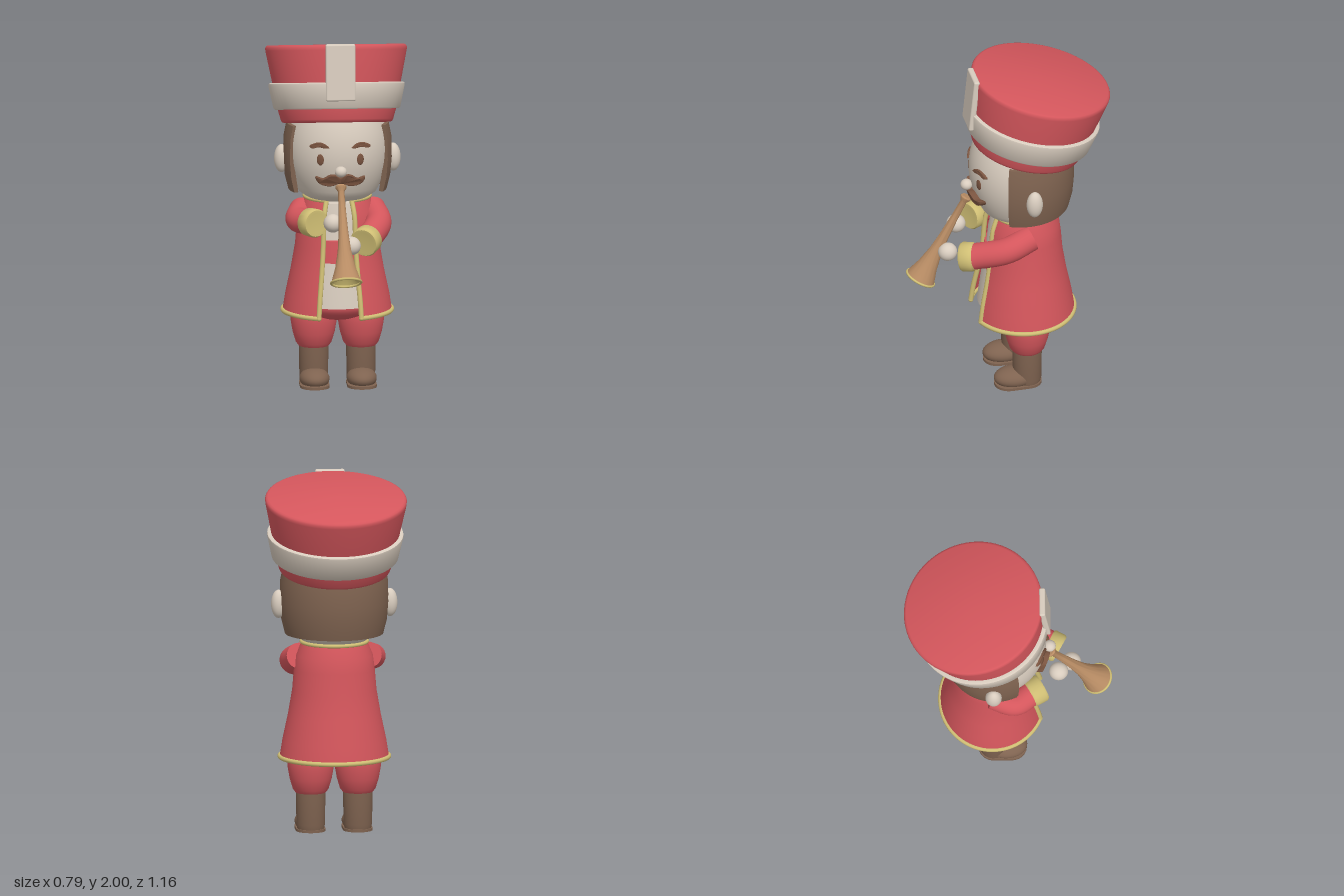
import * as THREE from 'three';
import { toCreasedNormals } from 'three/addons/utils/BufferGeometryUtils.js';
import { RoundedBoxGeometry } from 'three/addons/geometries/RoundedBoxGeometry.js';

const V = (x, y, z) => new THREE.Vector3(x, y, z);
const paint = (name, color, side = THREE.FrontSide) => {
  const m = new THREE.MeshStandardMaterial({ color, side });
  m.name = name;
  return m;
};

export function createModel() {
  const model = new THREE.Group();
  model.name = 'toyHornPlayer';
  const red = paint('red cloth', 0xd4565c, THREE.DoubleSide);
  const cream = paint('cream', 0xd8ccbe);
  const gold = paint('gold trim', 0xcfbe74);
  const brown = paint('brown', 0x7f6350, THREE.DoubleSide);
  const faceBrown = paint('dark brown', 0x79533f);
  const tan = paint('horn wood', 0xb88c64);

  const add = (name, geo, mat, pos = [0, 0, 0], parent = model) => {
    const m = new THREE.Mesh(geo, mat);
    m.name = name;
    m.position.set(...pos);
    parent.add(m);
    return m;
  };
  const lathe = (pts, segs = 56, start = 0, len = Math.PI * 2) =>
    toCreasedNormals(new THREE.LatheGeometry(pts.map(p => new THREE.Vector2(...p)), segs, start, len), 0.7);
  const ball = (name, pos, radii, mat, parent = model) => {
    const m = add(name, new THREE.SphereGeometry(1, 32, 20), mat, pos, parent);
    m.scale.set(...radii);
    return m;
  };
  const tube = (name, pts, r, mat, segs = 40, radial = 10) =>
    add(name, new THREE.TubeGeometry(new THREE.CatmullRomCurve3(pts), segs, r, radial), mat);
  const aim = (mesh, dir) => mesh.quaternion.setFromUnitVectors(V(0, 1, 0), dir.clone().normalize());

  // Legs, boots and feet
  ball('hips', [0, 0.47, -0.08], [0.24, 0.1, 0.2], red);
  for (const s of [-1, 1]) {
    const leg = new THREE.Group();
    leg.name = s > 0 ? 'leftLeg' : 'rightLeg';
    leg.position.set(s * 0.132, 0, -0.08);
    model.add(leg);
    add('trouserLeg', lathe([[0, 0.22], [0.085, 0.22], [0.1, 0.24], [0.118, 0.3], [0.13, 0.37],
      [0.128, 0.43], [0.1, 0.5], [0, 0.52]], 36), red, [0, 0, 0], leg);
    add('bootShaft', lathe([[0, 0.015], [0.075, 0.015], [0.08, 0.04], [0.083, 0.23], [0, 0.23]], 36), brown, [0, 0, 0], leg);
    const sole = new THREE.Shape();
    sole.absarc(0, 0, 0.082, 0, Math.PI, false);
    sole.absarc(0, -0.105, 0.082, Math.PI, Math.PI * 2, false);
    const soleGeo = new THREE.ExtrudeGeometry(sole, { depth: 0.015, bevelEnabled: false, curveSegments: 18 });
    add('sole', soleGeo.rotateX(-Math.PI / 2), brown, [0, 0, 0], leg);
    const toe = add('toe', new THREE.SphereGeometry(1, 32, 12, 0, Math.PI * 2, 0, Math.PI * 0.64), brown, [0, 0.045, 0.07], leg);
    toe.scale.set(0.084, 0.058, 0.12);
  }

  // Shirt and belt
  const torso = new THREE.Group();
  torso.name = 'torso';
  torso.position.z = -0.085;
  torso.scale.z = 0.95;
  model.add(torso);
  add('shirt', lathe([[0, 0.475], [0.265, 0.475], [0.245, 0.62], [0.215, 0.8], [0.2, 0.95], [0.178, 1.06], [0, 1.07]]), cream, [0, 0, 0], torso);
  add('belt', lathe([[0.2, 0.73], [0.238, 0.73], [0.222, 0.855], [0.19, 0.86]]), red, [0, 0, 0], torso);

  // Open coat with gold edging
  const gap = 0.4;
  const coat = [[0.305, 0.425], [0.29, 0.52], [0.26, 0.66], [0.236, 0.8], [0.226, 0.92], [0.215, 1.0], [0.183, 1.075]];
  add('coat', lathe(coat, 64, gap, Math.PI * 2 - gap * 2), red, [0, 0, 0], torso);
  const onCoat = ([r, y], a) => V(r * Math.sin(a), y, r * 0.95 * Math.cos(a) - 0.085);
  const around = p => Array.from({ length: 41 }, (_, i) => onCoat(p, gap + (Math.PI * 2 - gap * 2) * i / 40));
  tube('hemTrim', around(coat[0]), 0.013, gold, 96);
  tube('collarTrim', around(coat[coat.length - 1]), 0.011, gold, 80);
  for (const s of [-1, 1]) {
    tube('frontTrim', coat.map(p => onCoat(p, s * gap)), 0.014, gold);
    for (const p of [coat[0], coat[coat.length - 1]]) ball('trimCorner', onCoat(p, s * gap).toArray(), [0.014, 0.014, 0.014], gold);
  }

  // Arms: sleeve path, cuff end, hand
  const arms = [
    ['left', [V(0.195, 0.995, -0.09), V(0.22, 0.945, 0.06), V(0.155, 0.893, 0.235)], V(0.128, 0.883, 0.285), [0.052, 0.88, 0.357], 0.074],
    ['right', [V(-0.195, 0.995, -0.09), V(-0.225, 0.965, 0.04), V(-0.17, 0.97, 0.13)], V(-0.138, 0.973, 0.185), [-0.048, 0.995, 0.285], 0.071],
  ];
  for (const [side, path, end, hand, r] of arms) {
    tube(side + 'Sleeve', path, r, red, 24, 28);
    const start = add(side + 'Shoulder', new THREE.CircleGeometry(r, 28), red, path[0].toArray());
    start.quaternion.setFromUnitVectors(V(0, 0, 1), new THREE.CatmullRomCurve3(path).getTangent(0).negate());
    const dir = end.clone().sub(path[2]), len = dir.length() + 0.01;
    const cuff = add(side + 'Cuff', lathe([[0, -0.01], [r, -0.01], [r + 0.008, 0], [r + 0.01, len - 0.012],
      [r + 0.003, len], [r - 0.012, len], [0, len - 0.01]], 32), gold, path[2].toArray());
    aim(cuff, dir);
    ball(side + 'Hand', hand, [0.052, 0.052, 0.054], cream);
  }

  // Horn
  const mouth = V(0, 1.2, 0.235), axis = V(0.013, -0.5, 0.27);
  const horn = new THREE.Group();
  horn.name = 'horn';
  horn.position.copy(mouth);
  aim(horn, axis);
  model.add(horn);
  add('hornBody', lathe([[0, 0], [0.026, 0], [0.032, 0.008], [0.03, 0.018], [0.018, 0.036], [0.021, 0.15], [0.028, 0.28],
    [0.038, 0.38], [0.058, 0.48], [0.085, 0.565]], 36), tan, [0, 0, 0], horn);
  add('bellInside', lathe([[0.085, 0.565], [0.055, 0.53], [0, 0.5]], 36), gold, [0, 0, 0], horn);
  add('bellRim', new THREE.TorusGeometry(0.084, 0.007, 10, 40).rotateX(Math.PI / 2), gold, [0, 0.565, 0], horn);

  // Head, ears and nose
  const headR = y => 0.286 - 1.1 * (y - 1.36) ** 2;
  const faceZ = (x, y) => Math.sqrt(headR(y) ** 2 - x * x) - 0.07;
  const headPts = [[0, 1.062], [0.12, 1.065], [0.175, 1.08]];
  for (let y = 1.11; y < 1.6; y += 0.03) headPts.push([headR(y), y]);
  headPts.push([0, 1.6]);
  add('head', lathe(headPts), cream, [0, 0, -0.07]);
  ball('nose', [0, 1.277, 0.236], [0.034, 0.031, 0.034], cream);

  // Hair shell wrapped round the back of the head
  const hairA = 1.12;
  const hairPts = [[0.25, 1.12], [0.275, 1.12], [0.295, 1.2], [0.304, 1.3], [0.301, 1.42], [0.285, 1.5], [0.262, 1.5], [0.28, 1.3], [0.25, 1.12]];
  add('hair', lathe(hairPts, 48, hairA, Math.PI * 2 - hairA * 2), brown, [0, 0, -0.07]);
  const hairEnd = new THREE.ShapeGeometry(new THREE.Shape(hairPts.slice(0, -1).map(p => new THREE.Vector2(...p))));

  // Flat face details laid on the curve of the head
  const faceplate = (name, pts, depth, lift) => {
    const shape = new THREE.Shape(new THREE.SplineCurve(pts.concat([pts[0]]).map(p => new THREE.Vector2(...p))).getPoints(40).slice(0, -1));
    const geo = new THREE.ExtrudeGeometry(shape, { depth, bevelThickness: 0.004, bevelSize: 0.003, bevelSegments: 2 });
    const p = geo.attributes.position;
    for (let i = 0; i < p.count; i++) p.setZ(i, p.getZ(i) + lift + faceZ(p.getX(i), p.getY(i)));
    add(name, toCreasedNormals(geo, 0.6), faceBrown);
  };
  const brow = [[0.066, 1.409], [0.09, 1.427], [0.125, 1.432], [0.166, 1.413], [0.155, 1.403], [0.12, 1.413], [0.09, 1.408]];
  const moustache = [[0.002, 1.235], [0.03, 1.251], [0.06, 1.249], [0.095, 1.228], [0.135, 1.236], [0.12, 1.207],
    [0.085, 1.193], [0.045, 1.194], [0.015, 1.208], [0.002, 1.208]];
  for (const s of [-1, 1]) {
    const end = add('hairEdge', hairEnd, brown, [0, 0, -0.07]);
    end.rotation.y = s * hairA - Math.PI / 2;
    ball('ear', [s * 0.312, 1.29, -0.08], [0.042, 0.08, 0.046], cream);
    const mirror = pts => pts.map(([x, y]) => [s * x, y]);
    faceplate('eyebrow', mirror(brow), 0.008, 0);
    faceplate('moustache', mirror(moustache), 0.036, -0.004);
    const eye = ball('eye', [s * 0.112, 1.338, faceZ(0.112, 1.338)], [0.021, 0.032, 0.007], faceBrown);
    eye.rotation.y = s * 0.4;
  }

  // Tall hat, leaning back
  const hat = new THREE.Group();
  hat.name = 'hat';
  hat.position.set(0, 1.485, -0.1);
  hat.rotation.x = -0.22;
  model.add(hat);
  add('hatBody', lathe([[0, 0], [0.295, 0], [0.308, 0.006], [0.314, 0.018], [0.332, 0.08], [0.358, 0.22], [0.395, 0.405],
    [0.396, 0.42], [0.391, 0.43], [0.38, 0.435], [0, 0.435]], 72), red, [0, 0, 0], hat);
  add('hatBand', lathe([[0.325, 0.075], [0.345, 0.075], [0.354, 0.083], [0.381, 0.21], [0.38, 0.219], [0.372, 0.224], [0.345, 0.224]], 72), cream, [0, 0, 0], hat);
  const plate = add('hatPlate', new RoundedBoxGeometry(0.166, 0.32, 0.034, 3, 0.01), cream, [0, 1.839, 0.209]);
  plate.rotation.x = -0.1;

  return model;
}
